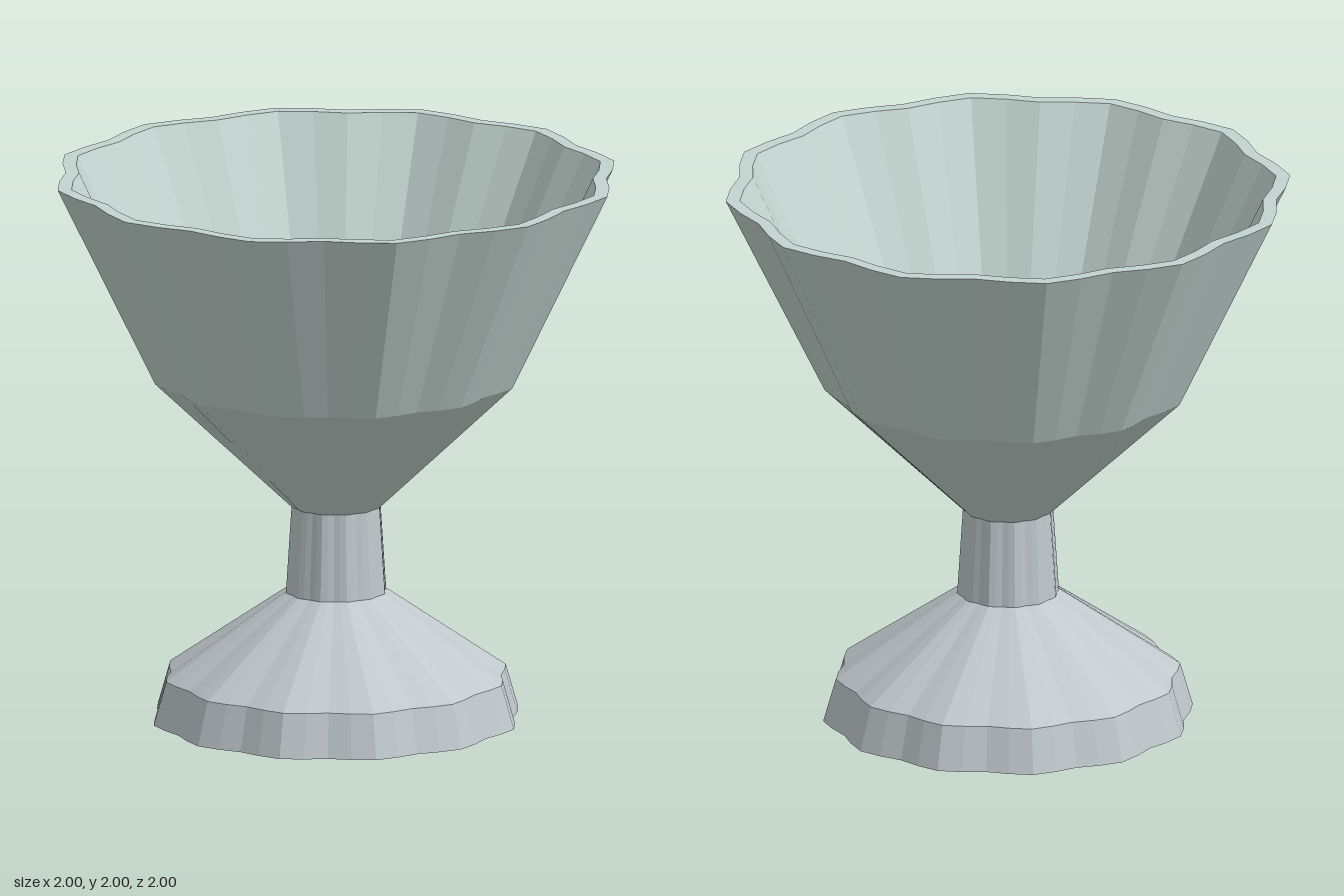
import * as THREE from 'three';

const LOBES = 12, SEGMENTS = 48;

// Faceted lathe whose radius swells and shrinks in twelve lobes around the axis
function flutedLathe(name, profile, color) {
  const geo = new THREE.LatheGeometry(profile.map(([r, y]) => new THREE.Vector2(r, y)), SEGMENTS);
  const pos = geo.attributes.position;
  for (let i = 0; i < pos.count; i++) {
    const x = pos.getX(i), z = pos.getZ(i);
    const k = 0.975 + 0.025 * Math.cos(LOBES * Math.atan2(x, z));
    pos.setXYZ(i, x * k, pos.getY(i), z * k);
  }
  geo.computeVertexNormals();
  const mesh = new THREE.Mesh(geo, new THREE.MeshStandardMaterial({ color, flatShading: true }));
  mesh.name = name;
  return mesh;
}

export function createModel() {
  const group = new THREE.Group();
  group.name = 'goblet';

  // Foot: shallow cone underneath, bevelled rim, sloping top
  group.add(flutedLathe('foot', [[0, 0], [0.655, 0.045], [0.61, 0.2], [0.18, 0.5]], 0xc0c8cc));

  // Stem: slight taper, capped at the top to form the floor of the cup
  group.add(flutedLathe('stem', [[0.18, 0.5], [0.16, 0.81], [0, 0.81]], 0xc0c8cc));

  // Bowl: outer wall up to the rim, then the inner wall back down
  group.add(flutedLathe('bowl', [
    [0.16, 0.81], [0.65, 1.28], [1, 2],
    [0.95, 2], [0.6, 1.28], [0.1, 0.812],
  ], 0xc3d4cf));

  return group;
}
